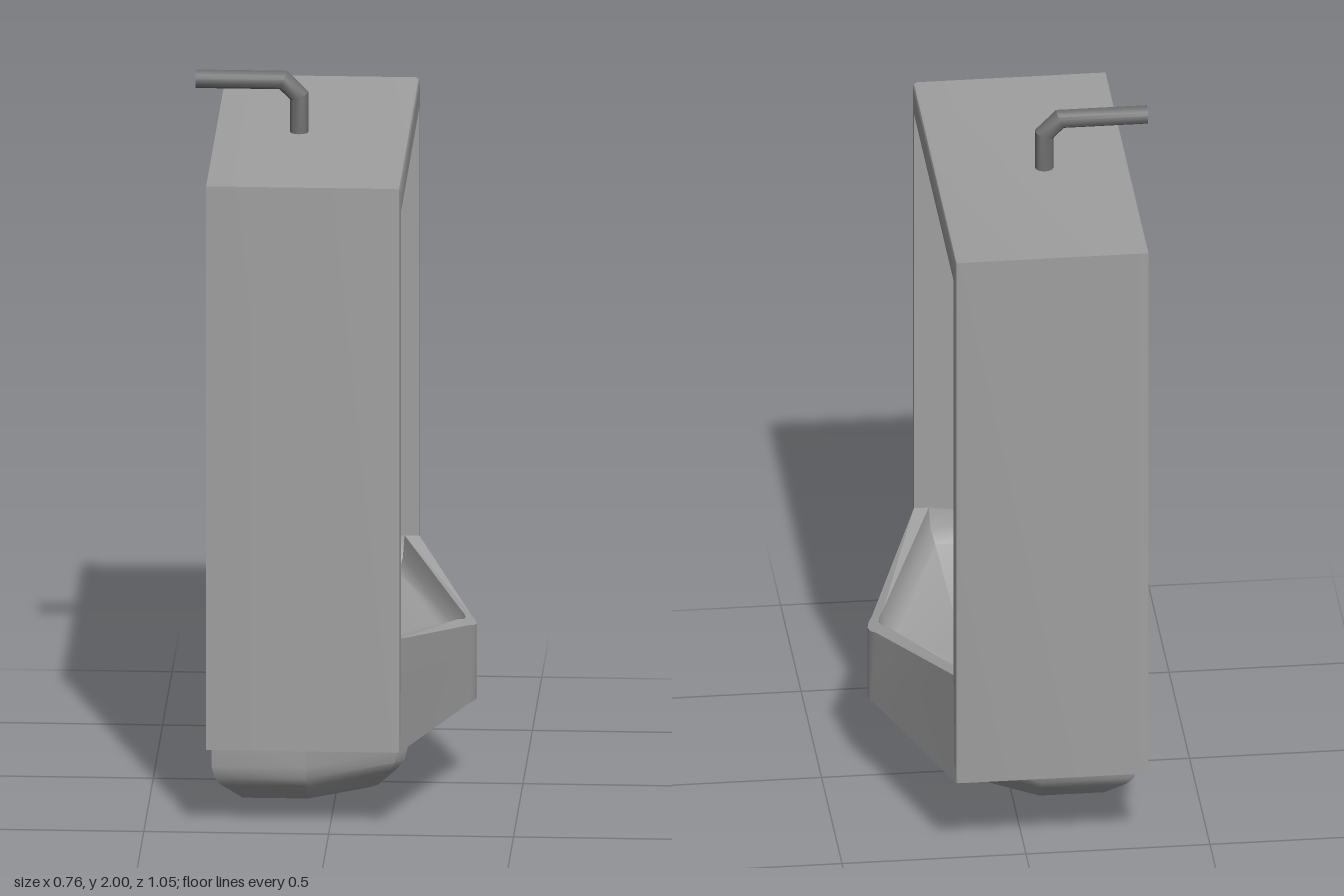
import * as THREE from 'three';
import { toCreasedNormals } from 'three/addons/utils/BufferGeometryUtils.js';

const FRONT = 0.195, BACK = -0.33, CAVITY = -0.23, BASE = 0.24, TOP = 1.83;

// Skin through rings of [x, y, z] points; closed rings wrap round, caps are fans.
function loft(rings, { closed = true, capStart = null, capEnd = null, crease = 0.5 } = {}) {
  const pos = [];
  const tri = (a, b, c) => pos.push(...a, ...b, ...c);
  const n = rings[0].length, last = closed ? n : n - 1;
  for (let r = 0; r < rings.length - 1; r++) {
    for (let i = 0; i < last; i++) {
      const j = (i + 1) % n, a = rings[r], b = rings[r + 1];
      tri(a[i], a[j], b[j]);
      tri(a[i], b[j], b[i]);
    }
  }
  const end = rings[rings.length - 1];
  for (let i = 0; i < last; i++) {
    const j = (i + 1) % n;
    if (capStart) tri(rings[0][j], rings[0][i], capStart);
    if (capEnd) tri(end[i], end[j], capEnd);
  }
  const geo = new THREE.BufferGeometry();
  geo.setAttribute('position', new THREE.Float32BufferAttribute(pos, 3));
  return toCreasedNormals(geo, crease);
}

// Rectangle facing +x, counter-clockwise from the front
const rect = (x, z, y0, y1) => [[x, y0, z], [x, y0, -z], [x, y1, -z], [x, y1, z]];

// Height of the sloping bowl rim
const rimY = (x) => 0.55 - 0.1 * Math.max(0, x - FRONT) / 0.18;

// Pointed front of the bowl with a rounded tip, from +z round to -z
function prow(x, z, tip, height) {
  const half = [[x, z], [tip - 0.018, 0.05], [tip - 0.005, 0.025]];
  const plan = [...half, [tip, 0], ...half.map(([a, b]) => [a, -b]).reverse()];
  return plan.map(([px, pz]) => [px, height(px), pz]);
}

export function createModel() {
  const group = new THREE.Group();
  const ceramic = new THREE.MeshStandardMaterial({ color: 0xa0a0a0, side: THREE.DoubleSide });
  ceramic.name = 'grey ceramic';
  const metal = new THREE.MeshStandardMaterial({ color: 0x707070 });
  metal.name = 'dark metal';
  const add = (name, geo, mat = ceramic) => {
    const mesh = new THREE.Mesh(geo, mat);
    mesh.name = name;
    group.add(mesh);
  };

  // Tall box with softened front edges and a deep cavity open towards +x
  add('body', loft([
    rect(BACK, 0.525, BASE, TOP),
    rect(FRONT - 0.012, 0.525, BASE, TOP),
    rect(FRONT - 0.004, 0.522, BASE, TOP - 0.003),
    rect(FRONT, 0.514, BASE, TOP - 0.011),
    rect(FRONT, 0.485, BASE + 0.02, 1.755),
    rect(CAVITY, 0.475, BASE + 0.02, 1.755),
  ], { capStart: [BACK, 1.035, 0], capEnd: [CAVITY, 1.035, 0] }));

  // Projecting bowl: leaning outer wall and flat sloping rim
  const foot = prow(FRONT - 0.002, 0.523, 0.375, () => BASE);
  const lip = prow(FRONT, 0.485, 0.375, rimY);
  const inner = prow(0.155, 0.484, 0.345, rimY);
  add('bowlFront', loft([foot, lip, inner],
    { closed: false, capStart: [FRONT - 0.002, BASE, 0] }));

  // Basin: short steep step below the rim, then a dished floor
  const edge = [[CAVITY, 0.55, -0.484], [CAVITY, 0.55, 0.484]];
  const rimRing = [...inner, ...edge];
  const stepRing = (inset, drop) => [
    ...prow(0.155 - inset * 0.4, 0.484 - inset, 0.345 - inset, (x) => rimY(x) - drop),
    ...edge.map(([x, y, z]) => [x + inset, y - drop, z - Math.sign(z) * inset]),
  ];
  add('basin', loft([rimRing, stepRing(0.01, 0.06), stepRing(0.035, 0.095)],
    { capEnd: [0.1, 0.31, 0], crease: 0.7 }));

  // Trap housing below, tapered towards the front and rounded in at the bottom
  const plan = [[BACK, 0.245], [-0.075, 0.245], [0.165, 0.075], [0.19, 0.04],
    [0.19, -0.04], [0.165, -0.075], [-0.075, -0.245], [BACK, -0.245]];
  const trapRing = (y, s) => plan.map(([x, z]) => [-0.07 + (x + 0.07) * s, y, z * s]).reverse();
  add('trap', loft([trapRing(0, 0.69), trapRing(0.05, 0.9), trapRing(0.075, 0.97),
    trapRing(0.11, 1), trapRing(BASE, 1)], { capStart: [-0.07, 0, 0] }));

  // Mitred supply pipe rising from the top and turning back
  const r = 0.025, sides = 20;
  const pipeRing = (x, y, angle, stretch = 1) => Array.from({ length: sides }, (_, i) => {
    const t = (i / sides) * Math.PI * 2, u = Math.cos(t) * r * stretch;
    return [x + u * Math.cos(angle), y + u * Math.sin(angle), -Math.sin(t) * r];
  });
  const mitre = 1 / Math.cos(Math.PI / 8);
  add('supplyPipe', loft([
    pipeRing(-0.105, TOP - 0.01, 0),
    pipeRing(-0.105, 1.932, Math.PI / 8, mitre),
    pipeRing(-0.148, 1.975, Math.PI * 3 / 8, mitre),
    pipeRing(-0.385, 1.975, Math.PI / 2),
  ], { capEnd: [-0.385, 1.975, 0] }), metal);

  return group;
}
